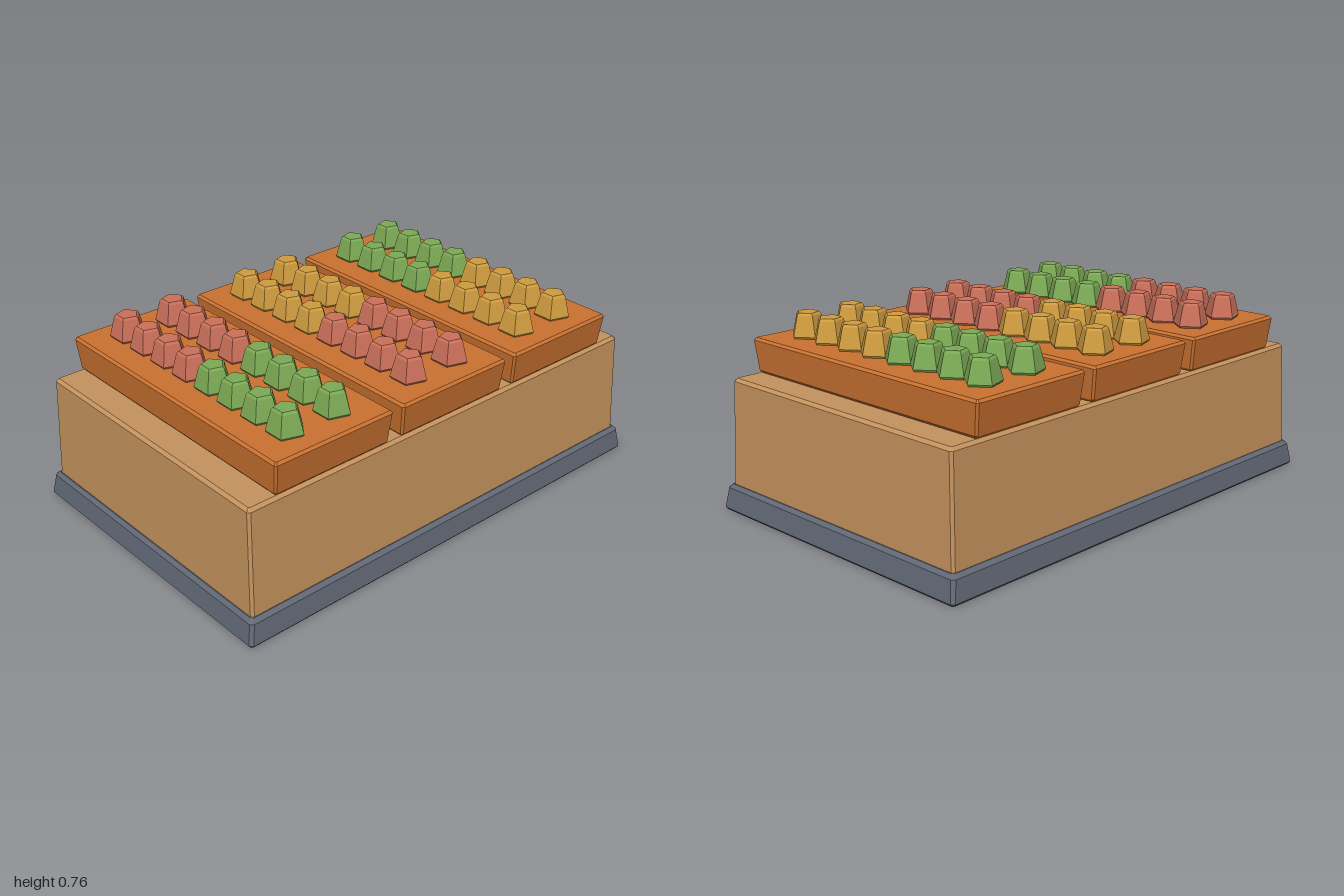
import * as THREE from 'three';

const mat = (name, color) => {
  const m = new THREE.MeshStandardMaterial({ color, flatShading: true });
  m.name = name;
  return m;
};

// Tapered box with chamfered edges; each section is [y, halfX, halfZ, cornerCut]
function chamferedBox(sections) {
  const rings = sections.map(([y, hx, hz, c]) => [
    [hx, hz - c], [hx, c - hz], [hx - c, -hz], [c - hx, -hz],
    [-hx, c - hz], [-hx, hz - c], [c - hx, hz], [hx - c, hz],
  ].map(([x, z]) => [x, y, z]));
  const pos = [];
  const tri = (a, b, c) => pos.push(...a, ...b, ...c);
  for (let s = 0; s < rings.length - 1; s++) {
    for (let i = 0; i < 8; i++) {
      const j = (i + 1) % 8, lo = rings[s], hi = rings[s + 1];
      tri(lo[i], lo[j], hi[j]);
      tri(lo[i], hi[j], hi[i]);
    }
  }
  // Bottom and top caps
  const bottom = rings[0], top = rings[rings.length - 1];
  for (let i = 1; i < 7; i++) {
    tri(bottom[0], bottom[i + 1], bottom[i]);
    tri(top[0], top[i], top[i + 1]);
  }
  const g = new THREE.BufferGeometry();
  g.setAttribute('position', new THREE.Float32BufferAttribute(pos, 3));
  g.computeVertexNormals();
  return g;
}

export function createModel() {
  const root = new THREE.Group();
  root.name = 'marketStand';

  const slate = mat('slate', 0x626976);
  const wood = mat('lightWood', 0xc6935e);
  const orange = mat('orangeWood', 0xca7230);
  const red = mat('redProduce', 0xcb705a);
  const green = mat('greenProduce', 0x7dab55);
  const gold = mat('goldProduce', 0xd09d40);

  const add = (parent, name, geometry, material, x = 0, y = 0, z = 0) => {
    const mesh = new THREE.Mesh(geometry, material);
    mesh.name = name;
    mesh.position.set(x, y, z);
    parent.add(mesh);
  };

  // Plinth and counter
  add(root, 'plinth', chamferedBox([
    [0, 0.643, 0.992, 0.006], [0.01, 0.651, 1, 0.012],
    [0.09, 0.639, 0.986, 0.012], [0.104, 0.623, 0.972, 0.006],
  ]), slate);
  add(root, 'counter', chamferedBox([
    [0.095, 0.62, 0.968, 0.01], [0.518, 0.605, 0.954, 0.01], [0.53, 0.593, 0.942, 0.004],
  ]), wood);

  // Trays flare upward, each with two rows of produce in two colours
  const trayGeo = chamferedBox([
    [0, 0.592, 0.25, 0.004], [0.01, 0.601, 0.258, 0.008],
    [0.128, 0.616, 0.266, 0.008], [0.138, 0.607, 0.257, 0.004],
  ]);
  const produceGeo = new THREE.LatheGeometry([
    [0, 0], [0.067, 0], [0.0725, 0.008], [0.051, 0.088], [0.043, 0.097], [0, 0.097],
  ].map(([r, y]) => new THREE.Vector2(r, y)), 5).rotateY(Math.PI);

  const trays = [
    ['frontTray', 0.579, red, green],
    ['middleTray', 0, gold, red],
    ['backTray', -0.579, green, gold],
  ];
  for (const [name, z, rightColor, leftColor] of trays) {
    const tray = new THREE.Group();
    tray.name = name;
    tray.position.set(0, 0.53, z);
    root.add(tray);
    add(tray, 'trayBox', trayGeo, orange);
    for (const row of [-1, 1]) {
      for (let i = 0; i < 8; i++) {
        add(tray, 'produce', produceGeo, i < 4 ? rightColor : leftColor,
          (i - 3.5) * 0.136, 0.138, row * 0.105);
      }
    }
  }
  return root;
}
